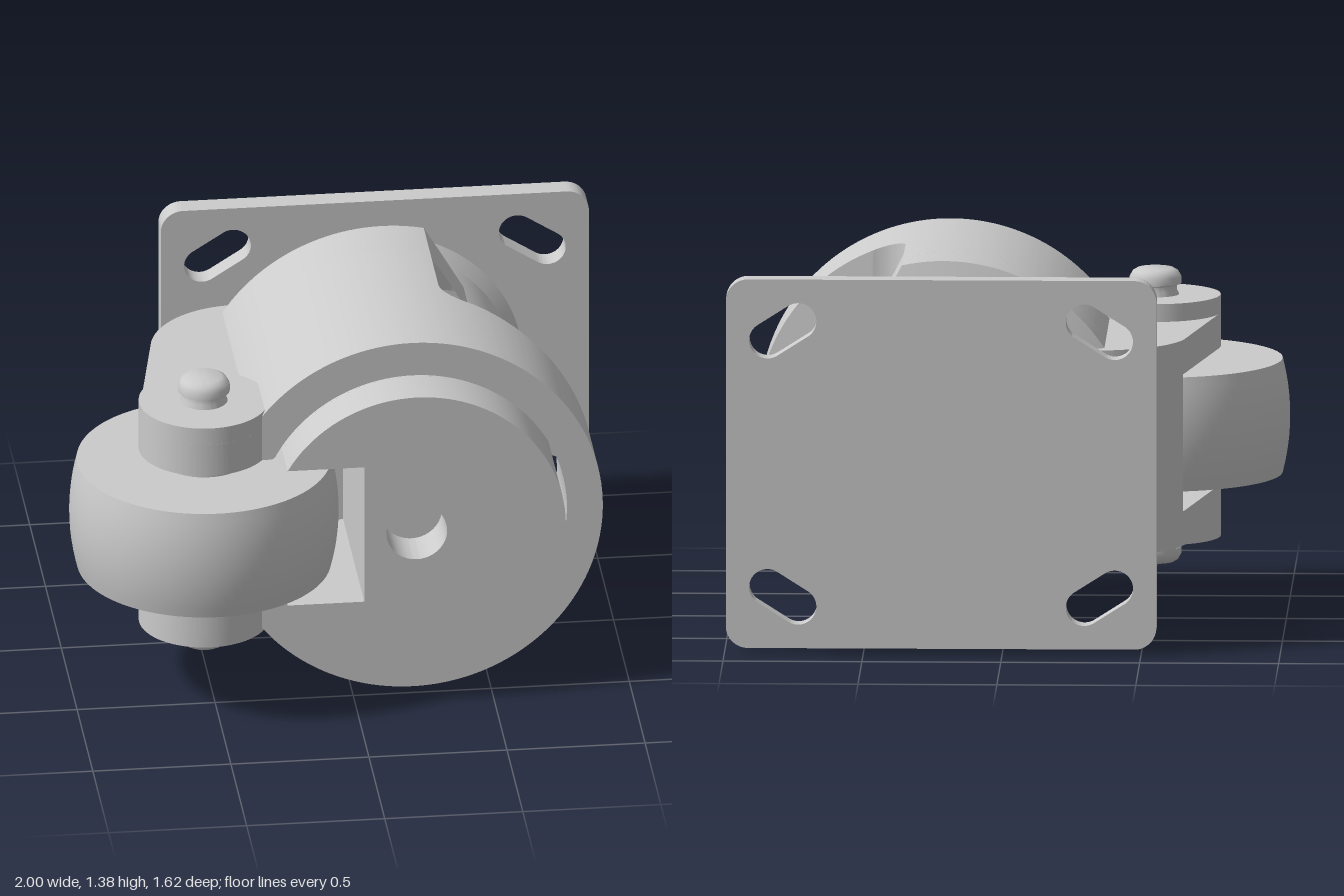
import * as THREE from 'three';
import { toCreasedNormals } from 'three/addons/utils/BufferGeometryUtils.js';

const grey = new THREE.MeshStandardMaterial({ color: 0xcccccc });
const half = (r, x) => Math.sqrt(Math.max(0, r * r - x * x));

export function createModel() {
  const model = new THREE.Group();
  const body = new THREE.Group();
  body.name = 'levellingCaster';
  body.position.set(0.22, 0.695, 0); // origin on the swivel axis (z)
  model.add(body);

  function add(name, geometry, x = 0, y = 0, z = 0) {
    const mesh = new THREE.Mesh(toCreasedNormals(geometry, 0.55), grey);
    mesh.name = name;
    mesh.position.set(x, y, z);
    body.add(mesh);
    return mesh;
  }

  // x stations from a to b, dense where circles of the given radii turn steeply
  function stations(a, b, radii, extra = []) {
    const xs = [a, b, ...extra];
    for (const r of radii) {
      for (let i = 0; i <= 72; i++) xs.push(-r * Math.cos((Math.PI * i) / 72));
    }
    return xs.filter(x => x >= a && x <= b).sort((p, q) => p - q)
      .filter((x, i, all) => i === 0 || x - all[i - 1] > 1e-5);
  }

  // Solid swept along x from (y, z) sections, made as an upper and a lower half
  function sweepHalves(name, xs, section) {
    for (const s of [1, -1]) {
      const pos = [], idx = [];
      const n = section(xs[0]).length;
      const tri = (a, b, c) => (s > 0 ? idx.push(a, b, c) : idx.push(a, c, b));
      for (const x of xs) for (const [y, z] of section(x)) pos.push(x, s * y, z);
      for (let i = 0; i < xs.length - 1; i++) {
        for (let k = 0; k < n; k++) {
          const a = i * n + k, b = i * n + (k + 1) % n;
          tri(a, b, a + n);
          tri(b, b + n, a + n);
        }
      }
      const e = (xs.length - 1) * n;
      for (let k = 1; k < n - 1; k++) {
        tri(0, k + 1, k);
        tri(e, e + k, e + k + 1);
      }
      const g = new THREE.BufferGeometry();
      g.setAttribute('position', new THREE.Float32BufferAttribute(pos, 3));
      g.setIndex(idx);
      add(name + (s > 0 ? 'Upper' : 'Lower'), g);
    }
  }
  const box = (y0, y1, z0, z1) => [[y0, z0], [y1, z0], [y1, z1], [y0, z1]];
  const extrude = (shape, depth) =>
    new THREE.ExtrudeGeometry(shape, { depth, bevelEnabled: false, curveSegments: 48 });
  const lathe = (pts, seg = 72) =>
    new THREE.LatheGeometry(pts.map(p => new THREE.Vector2(...p)), seg);

  // Housing wall: closed on the left apart from the wheel slot, cut open on the right
  const R = 0.69, bore = 0.56, cutX = 0.15;
  sweepHalves('housingWall', stations(-half(R, 0.25), cutX, [R, bore]), x =>
    box(Math.max(half(bore, x), x < 0 ? 0.25 : 0), half(R, x), -0.31, 0.45));
  const round = t => Math.sqrt(1 - (1 - Math.min(1, t)) ** 2);
  const fillets = Array.from({ length: 13 }, (_, i) => cutX + 0.12 * (1 - Math.cos(i * Math.PI / 24)));
  sweepHalves('housingRim', stations(cutX, R, [R, bore], fillets), x => {
    const z = x < 0.27 ? -0.04 + 0.1 * round((x - cutX) / 0.12) : 0.06 + (x - 0.27) * 0.24;
    return box(half(bore, x), half(R, x), z, 0.45);
  });

  // Back of the housing: shallow cone, with slanted flanks beside the opening
  const flank = x => (x < cutX ? half(R, x) : half(R, cutX) - (x - cutX) * 1.82);
  sweepHalves('housingBack', stations(-R, 0.3, [R], [cutX]), x => {
    const yo = flank(x), pts = [];
    for (let j = 0; j <= 8; j++) {
      const y = (yo * j) / 8;
      pts.push([y, -0.555 + 0.055 * Math.max(0, (Math.hypot(x, y) - 0.5) / 0.19)]);
    }
    return [...pts, [yo, -0.31], [0, -0.31]];
  });
  sweepHalves('openingFillet', stations(cutX, 0.25, [R], fillets), x => {
    const yi = half(bore, x);
    return box(yi, Math.max(yi, flank(x)), -0.31, -0.2 - 0.11 * round((x - cutX) / 0.1));
  });

  // Swivel neck and flared collar
  const neck = lathe([[0, -0.74], [0.54, -0.74], [0.47, -0.69], [0.495, -0.69], [0.495, -0.31], [0, -0.31]], 96);
  add('swivelNeck', neck.rotateX(Math.PI / 2));

  // Mounting plate with rounded corners and four diagonal slots
  const w = 0.775, h = 0.672, c = 0.08;
  const plate = new THREE.Shape();
  plate.absarc(w - c, h - c, c, 0, Math.PI / 2);
  plate.absarc(c - w, h - c, c, Math.PI / 2, Math.PI);
  plate.absarc(c - w, c - h, c, Math.PI, Math.PI * 1.5);
  plate.absarc(w - c, c - h, c, Math.PI * 1.5, Math.PI * 2);
  for (const sx of [1, -1]) {
    for (const sy of [1, -1]) {
      const p = [0.625 * sx, 0.45 * sy], q = [0.515 * sx, 0.52 * sy];
      const a = Math.atan2(q[1] - p[1], q[0] - p[0]);
      const slot = new THREE.Path();
      slot.absarc(...q, 0.066, a - Math.PI / 2, a + Math.PI / 2);
      slot.absarc(...p, 0.066, a + Math.PI / 2, a + Math.PI * 1.5);
      plate.holes.push(slot);
    }
  }
  add('mountingPlate', extrude(plate, 0.08), 0, 0, -0.817);

  // Fork: two arms joined by a rounded web behind the wheel (shape y is -z)
  const rad = Math.PI / 180;
  const arm = new THREE.Shape();
  arm.moveTo(-0.32, 0.555);
  arm.absarc(-0.53, 0.215, 0.34, 90 * rad, 168.5 * rad);
  arm.absarc(-0.74, -0.32, 0.235, 168.5 * rad, 325 * rad);
  [[-0.52, -0.4], [-0.52, 0.31], [-0.32, 0.31]].forEach(p => arm.lineTo(...p));
  const web = new THREE.Shape();
  web.moveTo(-0.32, 0.555);
  web.absarc(-0.53, 0.215, 0.34, 90 * rad, 163.8 * rad);
  web.lineTo(-0.32, 0.31);
  const wheelX = -0.74, wheelZ = 0.32;
  add('forkWeb', extrude(web, 0.5).rotateX(-Math.PI / 2), 0, -0.25, 0);
  for (const s of [1, -1]) {
    add('forkArm', extrude(arm, 0.125).rotateX(-Math.PI / 2), 0, s > 0 ? 0.25 : -0.375, 0);
    add('axleBoss', new THREE.CylinderGeometry(0.235, 0.235, 0.19, 64), wheelX, s * 0.345, wheelZ);
    add('washer', new THREE.CylinderGeometry(0.163, 0.163, 0.024, 48), wheelX, s * 0.22, wheelZ);
  }

  // Barrel wheel and axle
  const tread = [[0, -0.208]];
  for (let i = 0; i <= 12; i++) {
    const t = i / 6 - 1;
    tread.push([0.485 - 0.027 * t * t, 0.208 * t]);
  }
  tread.push([0, 0.208]);
  add('wheel', lathe(tread, 96), wheelX, 0, wheelZ);
  const end = [[0.09, 0.43], [0.078, 0.455], [0.078, 0.475], [0.093, 0.48], [0.093, 0.505], [0.082, 0.525], [0.065, 0.535], [0, 0.535]];
  const axle = [...end.map(([r, y]) => [r, -y]).reverse(), ...end];
  add('axle', lathe(axle, 48), wheelX, 0, wheelZ);

  // Levelling foot: disc with a wheel notch and a slanted back on the open side
  const F = 0.54, notchX = -0.19;
  const footBack = x => (x < 0.29 ? -0.08 : -0.08 + (x - 0.29) * 0.8);
  sweepHalves('footNotched', stations(-half(F, 0.27), notchX, [F]), x =>
    box(0.27, half(F, x), -0.08, 0.42));
  sweepHalves('foot', stations(notchX, F, [F], [0.29]), x =>
    box(0, half(F, x), footBack(x), 0.42));
  const face = new THREE.Shape();
  const na = Math.PI - Math.asin(0.27 / F);
  face.absarc(0, 0, F, -na, na);
  face.lineTo(notchX, 0.27);
  face.lineTo(notchX, -0.27);
  face.holes.push(new THREE.Path().absarc(0, 0, 0.11, 0, Math.PI * 2));
  add('footFace', extrude(face, 0.17), 0, 0, 0.42);

  // Levelling stud and hex nut, a corner pointing to the opening
  add('stud', new THREE.CylinderGeometry(0.1, 0.1, 0.25, 40).rotateX(Math.PI / 2), 0, 0, -0.195);
  const nut = lathe([[0, -0.088], [0.17, -0.088], [0.185, -0.078], [0.185, 0.078], [0.17, 0.088], [0, 0.088]], 6);
  add('hexNut', nut.rotateY(Math.PI / 6).rotateX(Math.PI / 2), 0, 0, -0.21);

  return model;
}
